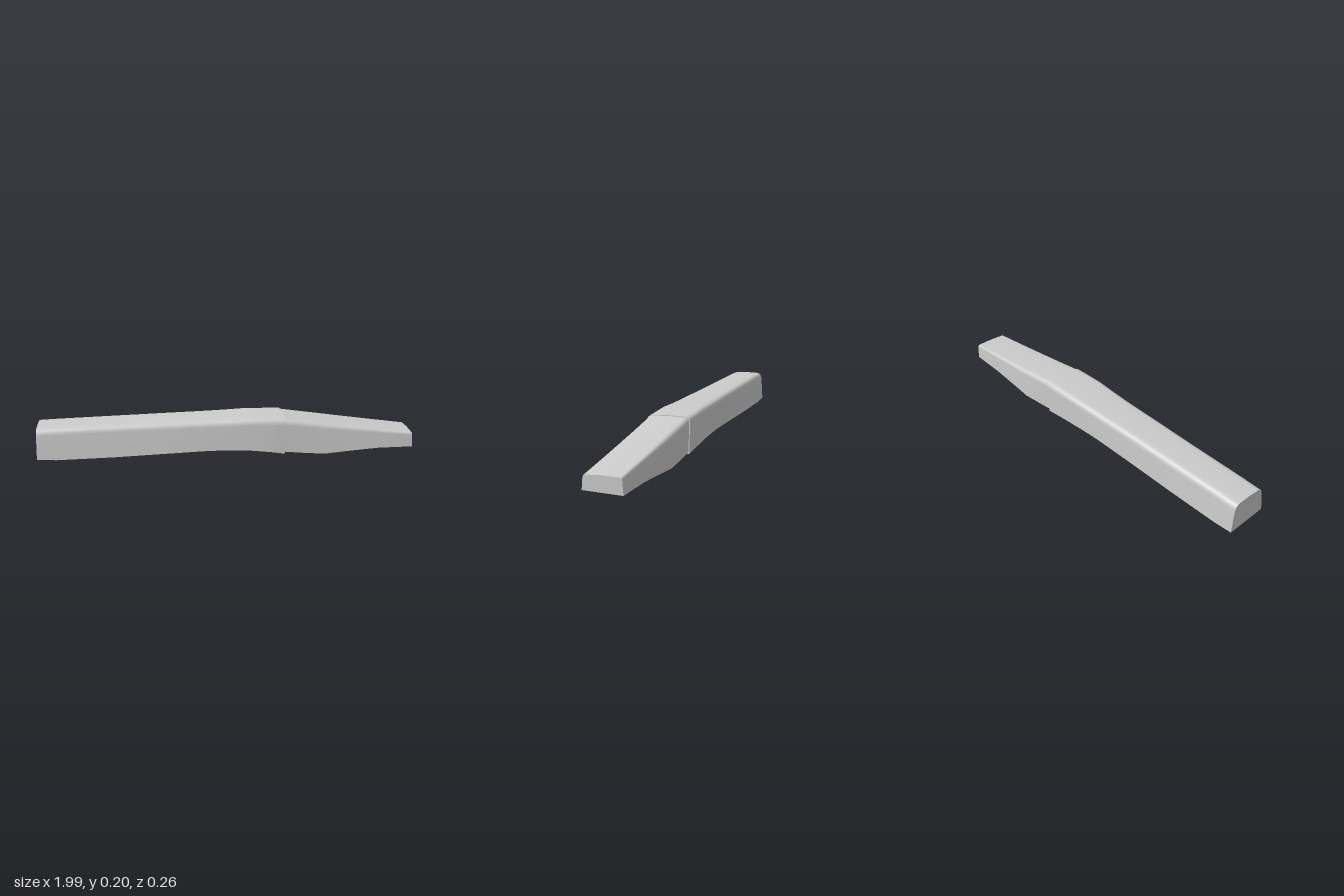
import * as THREE from 'three';
import { mergeGeometries } from 'three/addons/utils/BufferGeometryUtils.js';

const WALL = 0.014;
const lerp = THREE.MathUtils.lerp;

// Stations: x, bottom y, top y, back z (bottom, top), front z (top, bottom), corner radius
const MAIN = [
  [-1.0, 0.012, 0.175, -0.122, -0.110, 0.082, 0.108, 0.035],
  [-0.9, 0.007, 0.179, -0.122, -0.111, 0.084, 0.110, 0.035],
  [-0.6, 0.015, 0.187, -0.122, -0.115, 0.087, 0.114, 0.035],
  [-0.35, 0.026, 0.194, -0.122, -0.118, 0.091, 0.116, 0.035],
  [-0.1, 0.036, 0.200, -0.124, -0.123, 0.096, 0.117, 0.035],
  [0.02, 0.036, 0.204, -0.126, -0.127, 0.101, 0.119, 0.035],
  [0.12, 0.032, 0.208, -0.128, -0.131, 0.106, 0.123, 0.035],
  [0.22, 0.023, 0.206, -0.126, -0.130, 0.108, 0.128, 0.035],
  [0.298, 0.011, 0.205, -0.122, -0.127, 0.107, 0.126, 0.035],
];
const TIP = [
  [0.298, 0.020, 0.201, -0.117, -0.123, 0.104, 0.119, 0.033],
  [0.40, 0.011, 0.187, -0.117, -0.119, 0.103, 0.121, 0.031],
  [0.51, 0.003, 0.172, -0.117, -0.115, 0.102, 0.121, 0.028],
  [0.62, 0.012, 0.157, -0.111, -0.109, 0.102, 0.118, 0.025],
  [0.80, 0.025, 0.133, -0.102, -0.099, 0.101, 0.114, 0.018],
  [0.992, 0.026, 0.108, -0.093, -0.088, 0.102, 0.109, 0.012],
];

// Arched cross-section, from the back bottom edge over the top to the front
function section([x, yB, yT, zBB, zBT, zFT, zFB, r], inset, dx = 0) {
  const c = [
    [zBB + inset, yB], [zBT + inset, yT - inset],
    [zFT - inset, yT - inset - 0.009], [zFB - inset, yB],
  ].map((p) => new THREE.Vector2(...p));
  const rad = Math.max(r - inset, 0.004);
  const toward = (a, b) => a.clone().add(b.clone().sub(a).setLength(rad));
  const bend = (a, b, d) =>
    new THREE.QuadraticBezierCurve(toward(b, a), b, toward(b, d)).getPoints(6);
  const back = bend(c[0], c[1], c[2]);
  const front = bend(c[1], c[2], c[3]);
  const crown = back[6].clone().lerp(front[0], 0.5);
  crown.y += 0.003;
  const backMid = c[0].clone().lerp(back[0], 0.5);
  const frontMid = c[3].clone().lerp(front[6], 0.5);
  return [c[0], backMid, ...back, crown, ...front, frontMid, c[3]]
    .map((p) => new THREE.Vector3(x + dx, p.y, p.x));
}

// Skin over rows of equally many points
function skin(rows, flip = false) {
  const n = rows[0].length, index = [];
  for (let i = 0; i < rows.length - 1; i++) {
    for (let j = 0; j < n - 1; j++) {
      const a = i * n + j, b = a + n;
      index.push(...(flip ? [a, b, a + 1, a + 1, b, b + 1] : [a, a + 1, b, a + 1, b + 1, b]));
    }
  }
  const g = new THREE.BufferGeometry().setFromPoints(rows.flat());
  g.setIndex(index);
  g.computeVertexNormals();
  return g;
}

// End wall filled between the back and front halves of a section
function endWall(pts, flip) {
  const m = (pts.length - 1) / 2;
  return skin([pts.slice(0, m + 1), pts.slice(m).reverse()], flip);
}

// Hollow channel, open below, closed at one end (capSide -1 or +1)
function channel(name, coarse, capSide) {
  // Two rows for every span keep the taper smooth
  const stations = coarse.flatMap((s, i) => {
    const next = coarse[i + 1];
    return next ? [s, s.map((v, k) => lerp(v, next[k], 0.5))] : [s];
  });
  const last = stations.length - 1;
  const capIndex = capSide > 0 ? last : 0;
  const openIndex = last - capIndex;
  const outer = stations.map((s) => section(s, 0));
  const inner = stations.map((s, i) => section(s, WALL, i === capIndex ? -capSide * WALL : 0));
  const first = (rows) => rows.map((r) => r[0]);
  const end = (rows) => rows.map((r) => r[r.length - 1]);
  const o = outer[capIndex], q = inner[capIndex];
  const geometry = mergeGeometries([
    skin(outer),
    skin(inner, true),
    // bottom rims
    skin([first(outer), first(inner)]),
    skin([end(outer), end(inner)], true),
    skin([[o[0], o.at(-1)], [q[0], q.at(-1)]], capSide < 0),
    // end wall, outside and inside
    endWall(o, capSide < 0),
    endWall(q, capSide > 0),
    // wall thickness at the seam
    skin([outer[openIndex], inner[openIndex]], capSide > 0),
  ]);
  const mesh = new THREE.Mesh(geometry, new THREE.MeshStandardMaterial({ color: 0xcccccc }));
  mesh.name = name;
  return mesh;
}

export function createModel() {
  const group = new THREE.Group();
  group.name = 'hollowCover';
  group.add(channel('mainCover', MAIN, -1));
  group.add(channel('taperedTip', TIP, 1));
  return group;
}
